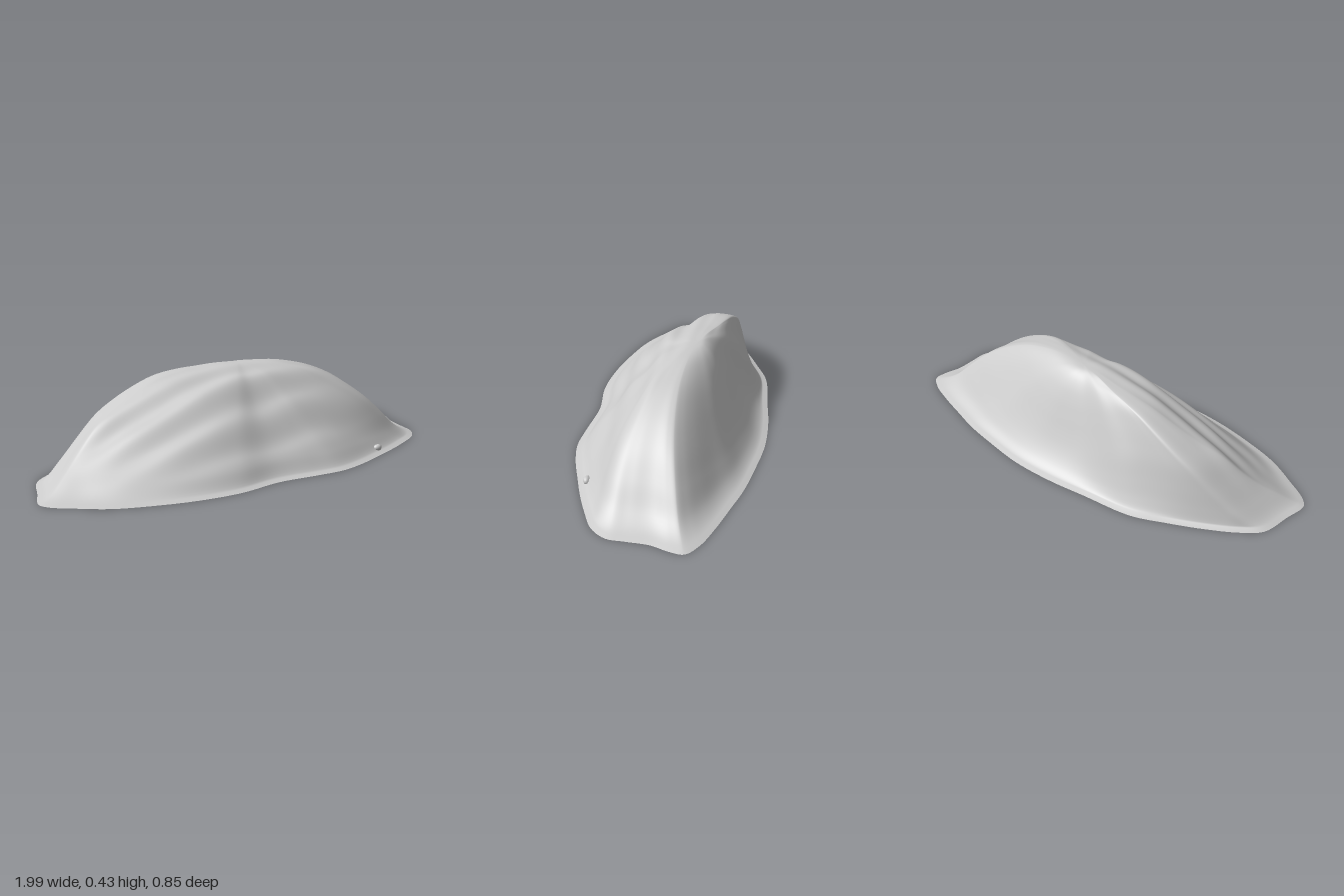
import * as THREE from 'three';

// footprint, as x, z pairs going round from the back left
const OUTLINE = [
  [-0.94, -0.11], [-0.86, -0.18], [-0.72, -0.26], [-0.58, -0.325], [-0.43, -0.385], [-0.2, -0.41], [0, -0.43], [0.2, -0.43],
  [0.4, -0.4], [0.55, -0.37], [0.68, -0.33], [0.82, -0.285], [0.93, -0.24], [0.99, -0.19], [0.985, -0.13], [0.96, -0.05],
  [0.955, 0.05], [0.95, 0.13], [0.9, 0.2], [0.8, 0.255], [0.7, 0.3], [0.58, 0.345], [0.45, 0.39], [0.33, 0.415],
  [0.2, 0.41], [0, 0.395], [-0.2, 0.42], [-0.4, 0.405], [-0.6, 0.36], [-0.75, 0.31], [-0.88, 0.235], [-0.97, 0.175],
  [-1, 0.13], [-0.975, 0.02],
];
const PEAK_X = 0.05;
const LIP_WIDTH = 0.024, LIP_HEIGHT = 0.007;
const SEGMENTS = 204, RINGS = 60;

// smooth curve through evenly spaced values
const profile = (values) => new THREE.SplineCurve(values.map((v, i) => new THREE.Vector2(i, v)));

// slope profiles from the crest (first) to the inner edge of the lip (last)
const SLOPES = {
  front: profile([0.43, 0.427, 0.412, 0.383, 0.345, 0.293, 0.236, 0.18, 0.124, 0.07, LIP_HEIGHT]),
  back: profile([0.43, 0.425, 0.402, 0.36, 0.302, 0.235, 0.167, 0.107, 0.06, 0.026, LIP_HEIGHT]),
  left: profile([0.43, 0.43, 0.425, 0.408, 0.383, 0.345, 0.295, 0.23, 0.143, 0.05, LIP_HEIGHT]),
  right: profile([0.43, 0.43, 0.42, 0.41, 0.39, 0.35, 0.3, 0.24, 0.155, 0.07, LIP_HEIGHT]),
};

// z of the crest line from x = -1 to x = 1: it runs diagonally and bends at both ends
const CREST = profile([0, -0.1, -0.165, -0.175, -0.15, -0.105, -0.06, -0.028, -0.02, -0.04, -0.08]);
const crest = (x) => CREST.getPoint((x + 1) / 2).y;

const smooth = THREE.MathUtils.smoothstep;

// long terraced folds running across the front slope
function folds(x, z, r) {
  const steep = 0.118 - 0.04 * smooth(x, -0.5, 0.5) - 0.02 * x;
  const fade = smooth(z - crest(x), 0.02, 0.15) * (1 - smooth(r, 0.7, 0.97))
    * smooth(x, -1, -0.6) * (1 - 0.8 * smooth(x, 0.1, 0.65));
  return -0.01 * fade * Math.sin(((z - steep) * Math.PI * 2) / 0.142);
}

function height(x, z, dx, dz, r) {
  const a = dx * dx, b = (dz / 0.45) ** 2;
  const along = (dx > 0 ? SLOPES.left : SLOPES.right).getPoint(r).y;
  const across = (dz > 0 ? SLOPES.front : SLOPES.back).getPoint(r).y;
  return (along * a + across * b) / (a + b) + folds(x, z, r);
}

// height surface made of rings growing from the peak, with a thin lip as the last ring
function moundGeometry(rim, inner) {
  const positions = [], index = [];
  for (let j = 0; j <= RINGS; j++) {
    const r = j / RINGS;
    for (const p of inner) {
      const dx = p.x - PEAK_X, dz = p.z - crest(p.x);
      const x = PEAK_X + dx * r, z = crest(x) + dz * r;
      positions.push(x, height(x, z, dx, dz, r), z);
    }
  }
  for (const p of rim) positions.push(p.x, 0, p.z);
  for (let j = 0; j <= RINGS; j++) {
    for (let i = 0; i < SEGMENTS; i++) {
      const k = (i + 1) % SEGMENTS;
      const a = j * SEGMENTS + i, b = j * SEGMENTS + k;
      const c = a + SEGMENTS, d = b + SEGMENTS;
      index.push(a, d, c);
      if (j > 0) index.push(a, b, d);
    }
  }
  const geometry = new THREE.BufferGeometry();
  geometry.setAttribute('position', new THREE.Float32BufferAttribute(positions, 3));
  geometry.setIndex(index);
  geometry.computeVertexNormals();
  // the peak is one point shared by the whole first ring
  for (let i = 0; i < SEGMENTS; i++) geometry.attributes.normal.setXYZ(i, 0, 1, 0);
  return geometry;
}

export function createModel() {
  const group = new THREE.Group();
  group.name = 'mound';
  const material = new THREE.MeshStandardMaterial({ color: 0xcccccc });
  const add = (name, geometry) => {
    const mesh = new THREE.Mesh(geometry, material);
    mesh.name = name;
    group.add(mesh);
    return mesh;
  };

  const curve = new THREE.CatmullRomCurve3(OUTLINE.map(([x, z]) => new THREE.Vector3(x, 0, z)), true);
  const rim = [], inner = [];
  for (let i = 0; i < SEGMENTS; i++) {
    const p = curve.getPoint(i / SEGMENTS), t = curve.getTangent(i / SEGMENTS);
    rim.push(p);
    inner.push(new THREE.Vector3(p.x - t.z * LIP_WIDTH, 0, p.z + t.x * LIP_WIDTH));
  }

  add('moundSurface', moundGeometry(rim, inner));

  // flat underside, facing down
  const shape = new THREE.Shape(rim.map((p) => new THREE.Vector2(p.x, p.z)));
  add('underside', new THREE.ShapeGeometry(shape).rotateX(Math.PI / 2));

  // small pebble at the foot of the front slope
  const pebble = add('pebble', new THREE.SphereGeometry(1, 20, 14));
  pebble.scale.set(0.023, 0.018, 0.016);
  pebble.position.set(0.612, 0.019, 0.292);
  pebble.rotation.x = 0.6;

  return group;
}
